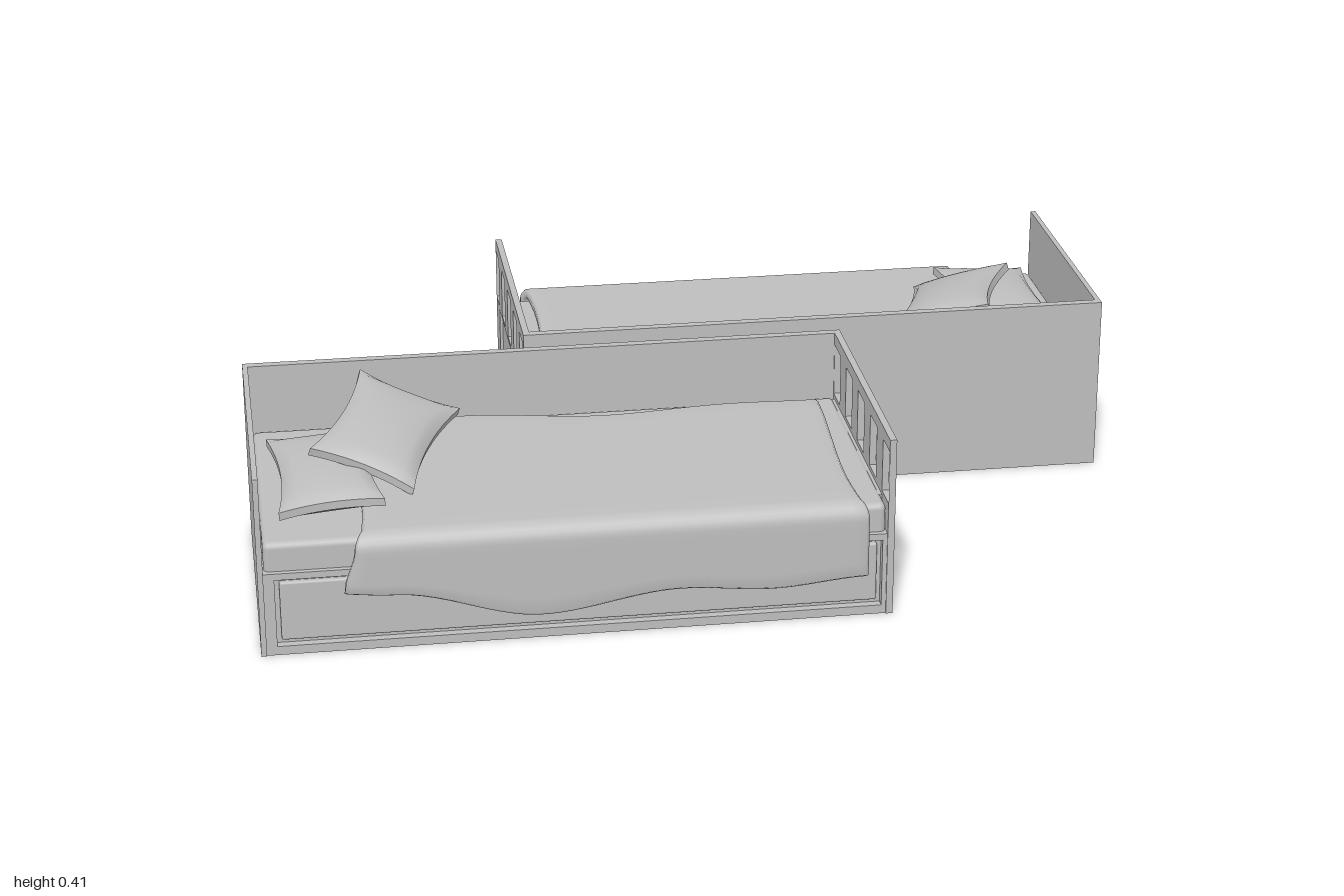
import * as THREE from 'three';
import { RoundedBoxGeometry } from 'three/addons/geometries/RoundedBoxGeometry.js';

const grey = new THREE.MeshStandardMaterial({ color: 0xbebebe });
grey.name = 'plain grey';

function add(parent, name, geometry) {
  const mesh = new THREE.Mesh(geometry, grey);
  mesh.name = name;
  parent.add(mesh);
  return mesh;
}

// Box given by its lower and upper limits
function box(parent, name, x0, x1, y0, y1, z0, z1, radius = 0) {
  const size = [x1 - x0, y1 - y0, z1 - z0];
  const geometry = radius ? new RoundedBoxGeometry(...size, 3, radius) : new THREE.BoxGeometry(...size);
  const mesh = add(parent, name, geometry);
  mesh.position.set((x0 + x1) / 2, (y0 + y1) / 2, (z0 + z1) / 2);
  return mesh;
}

function rect(Type, x0, x1, y0, y1) {
  return new Type([[x0, y0], [x1, y0], [x1, y1], [x0, y1]].map(p => new THREE.Vector2(...p)));
}

function panelWithHoles(outer, holes, depth) {
  const shape = rect(THREE.Shape, ...outer);
  holes.forEach(h => shape.holes.push(rect(THREE.Path, ...h)));
  return new THREE.ExtrudeGeometry(shape, { depth, bevelEnabled: false });
}

// Smooth interpolation through [x, value] points
function ease(points, x) {
  const last = points.length - 1;
  if (x <= points[0][0]) return points[0][1];
  if (x >= points[last][0]) return points[last][1];
  const i = points.findIndex(p => p[0] > x);
  const [a, b] = [points[i - 1], points[i]];
  const t = (x - a[0]) / (b[0] - a[0]);
  return a[1] + (b[1] - a[1]) * t * t * (3 - 2 * t);
}

// Thick cloth lying on the mattress and hanging over its front edge
function blanketGeometry() {
  const backEdge = [[-0.8, 0.12], [-0.52, 0.09], [-0.2, 0.135], [0.1, 0.11], [0.3, 0.117]];
  const hem = [[-0.82, 0.145], [-0.7, 0.135], [-0.39, 0.066], [-0.1, 0.105], [0.1, 0.09], [0.3, 0.105]];
  const leftEdge = [[0, -0.79], [0.4, -0.77], [0.72, -0.795], [1, -0.82]];
  const rightEdge = [[0, 0.297], [0.4, 0.28], [0.72, 0.3], [1, 0.3]];
  const columns = 44, top = 16, arc = 6, hang = 8;
  const stations = top + arc + hang + 1, loop = stations * 2;
  const positions = [], index = [];
  for (let i = 0; i <= columns; i++) {
    const t = i === 0 ? 0 : i === columns ? 1 : 0.006 + 0.988 * (i - 1) / (columns - 2);
    const xMid = -0.8 + 1.1 * t;
    const thin = i === 0 || i === columns ? 0.45 : 1;
    const upper = [], lower = [];
    for (let j = 0; j < stations; j++) {
      let y, z, angle = 0;
      if (j <= top) {
        const k = j === 1 ? 0.012 : j / top;
        z = THREE.MathUtils.lerp(ease(backEdge, xMid), 0.66, k);
        y = 0.265;
      } else if (j <= top + arc) {
        angle = (j - top) / arc * Math.PI / 2;
        z = 0.66 + 0.027 * Math.sin(angle);
        y = 0.238 + 0.027 * Math.cos(angle);
      } else {
        angle = Math.PI / 2;
        const n = j - top - arc;
        z = 0.687;
        y = THREE.MathUtils.lerp(0.238, ease(hem, xMid), n === hang - 1 ? 0.96 : n / hang);
      }
      const p = j / (stations - 1);
      const x = THREE.MathUtils.lerp(ease(leftEdge, p), ease(rightEdge, p), t);
      const h = 0.0125 * thin * (j === 0 || j === stations - 1 ? 0.45 : 1);
      const dy = h * Math.cos(angle), dz = h * Math.sin(angle);
      upper.push([x, y + dy, z + dz]);
      lower.unshift([x, y - dy, z - dz]);
    }
    positions.push(...upper.flat(), ...lower.flat());
  }
  const quad = (a, b, c, d) => index.push(a, b, c, a, c, d);
  for (let i = 0; i < columns; i++) {
    for (let j = 0; j < loop; j++) {
      const k = (j + 1) % loop, a = i * loop, b = a + loop;
      quad(a + j, a + k, b + k, b + j);
    }
  }
  const end = columns * loop;
  for (let j = 0; j < stations - 1; j++) {
    const m = loop - 1 - j;
    quad(j, m, m - 1, j + 1);
    quad(end + j, end + j + 1, end + m - 1, end + m);
  }
  const geometry = new THREE.BufferGeometry();
  geometry.setAttribute('position', new THREE.Float32BufferAttribute(positions, 3));
  geometry.setIndex(index);
  geometry.computeVertexNormals();
  return geometry;
}

// Cushion with pointed corners, drawn-in sides and a thin rim
function pillowGeometry(width, length, height) {
  const geometry = new THREE.BoxGeometry(2, 2, 2, 14, 1, 18);
  const p = geometry.attributes.position;
  for (let i = 0; i < p.count; i++) {
    const u = p.getX(i), s = p.getY(i), v = p.getZ(i);
    const fu = 1 - u * u, fv = 1 - v * v;
    p.setXYZ(i, width / 2 * u * (1 - 0.16 * fv),
      s * (0.009 + (height / 2 - 0.009) * Math.sqrt(Math.max(0, fu * fv))),
      length / 2 * v * (1 - 0.1 * fu));
  }
  geometry.computeVertexNormals();
  return geometry;
}

function createBed() {
  const bed = new THREE.Group();

  // Tall back and head panels
  box(bed, 'backPanel', -1, 0.345, 0, 0.41, 0.037, 0.057);
  box(bed, 'headPanel', -1, -0.988, 0, 0.41, 0.057, 0.67);

  // Foot panel with a row of openings and a recessed lower field
  const holes = [0, 1, 2, 3, 4].map(i => [0.06 + 0.135 * i, 0.13 + 0.135 * i, 0.262, 0.382]);
  holes.push([0.07, 0.6, 0.006, 0.252]);
  const foot = add(bed, 'footFrame', panelWithHoles([0.037, 0.67, 0, 0.41], holes, 0.015));
  foot.rotation.y = -Math.PI / 2;
  foot.position.x = 0.36;
  box(bed, 'footField', 0.338, 0.353, 0.006, 0.252, 0.07, 0.6);

  // Base, front frame and recessed drawer
  box(bed, 'base', -0.988, 0.345, 0.004, 0.19, 0.057, 0.648);
  const front = add(bed, 'frontFrame',
    panelWithHoles([-0.988, 0.345, 0, 0.19], [[-0.965, 0.335, 0.02, 0.175]], 0.02));
  front.position.z = 0.647;
  box(bed, 'drawerFront', -0.955, 0.325, 0.03, 0.165, 0.64, 0.66, 0.005);

  // Bedding
  box(bed, 'mattress', -0.986, 0.344, 0.17, 0.254, 0.058, 0.655, 0.014);
  add(bed, 'blanket', blanketGeometry());
  const lower = add(bed, 'lowerPillow', pillowGeometry(0.225, 0.39, 0.07));
  lower.position.set(-0.84, 0.292, 0.39);
  lower.rotation.set(0, 0.03, 0.07);
  const upper = add(bed, 'upperPillow', pillowGeometry(0.24, 0.37, 0.075));
  upper.rotation.set(0.09, -0.36, -0.33, 'YXZ');
  upper.position.set(-0.7, 0.338, 0.295);
  return bed;
}

export function createModel() {
  const model = new THREE.Group();
  model.name = 'twinBeds';
  // Two equal beds, back to back and turned half round
  ['frontBed', 'rearBed'].forEach((name, i) => {
    const bed = createBed();
    bed.name = name;
    bed.rotation.y = i * Math.PI;
    model.add(bed);
  });
  return model;
}
